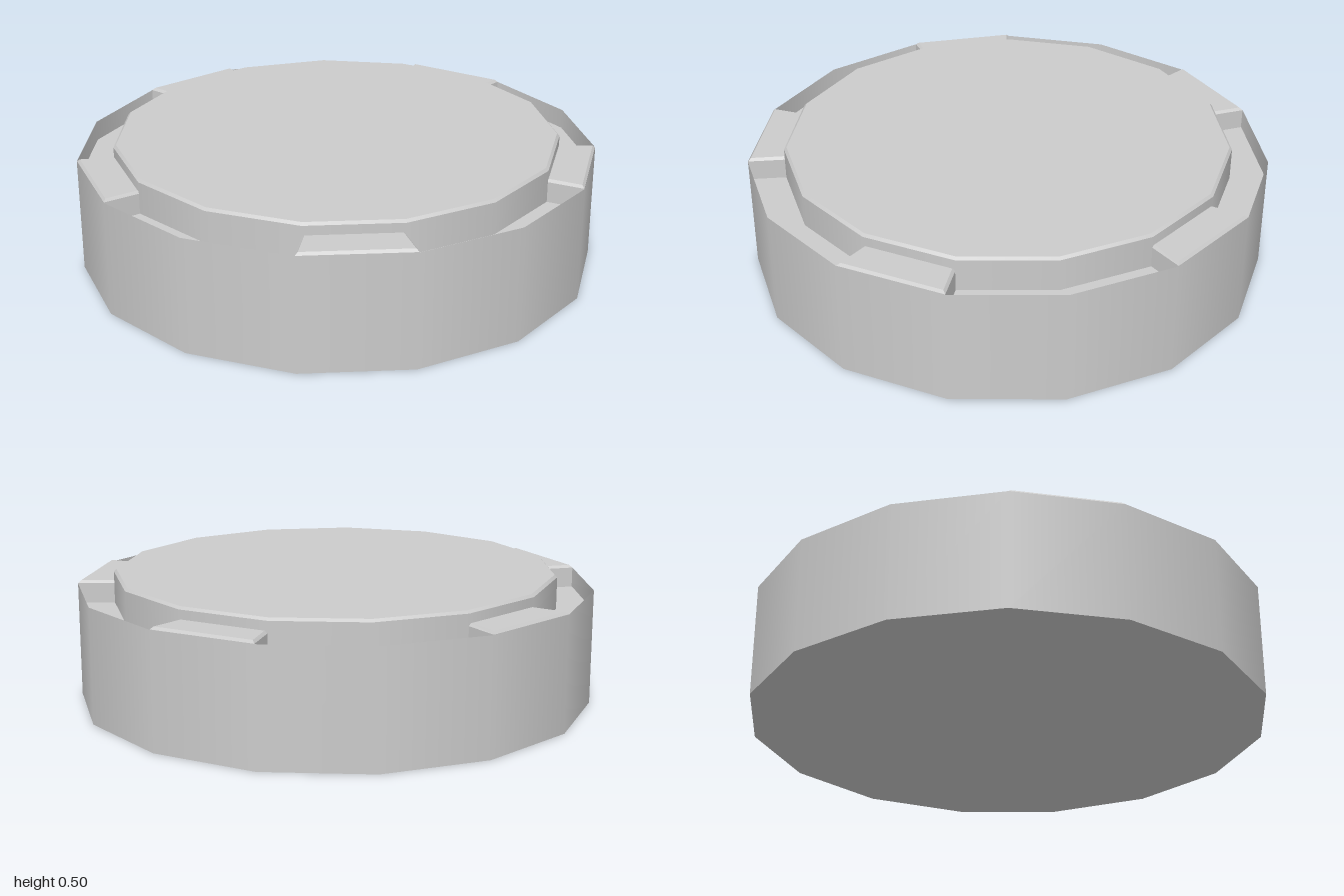
import * as THREE from 'three';

const SIDES = 15;
const STEP = (Math.PI * 2) / SIDES;
const R = 1.005;        // outer wall radius
const R_DISC = 0.864;   // raised centre radius
const FLOOR = 0.37;     // bottom of the ring groove
const WALL = 0.448;     // top of the outer wall
const TOP = 0.504;

export function createModel() {
  const group = new THREE.Group();
  const mat = new THREE.MeshStandardMaterial({ color: 0xcccccc });
  const thin = new THREE.MeshStandardMaterial({ color: 0xcccccc, side: THREE.DoubleSide });

  const add = (name, geometry, material = mat) => {
    const mesh = new THREE.Mesh(geometry, material);
    mesh.name = name;
    group.add(mesh);
    return mesh;
  };

  // Fifteen-sided band with a corner on +x
  const band = (name, rTop, rBottom, y0, y1, material) => {
    const g = new THREE.CylinderGeometry(rTop, rBottom, y1 - y0, SIDES, 1, true, Math.PI / 2);
    add(name, g, material).position.y = (y0 + y1) / 2;
  };

  // Flat fifteen-sided plate facing up or down
  const plate = (name, radius, y, up) => {
    const mesh = add(name, new THREE.CircleGeometry(radius, SIDES));
    mesh.rotation.x = up ? -Math.PI / 2 : Math.PI / 2;
    mesh.position.y = y;
  };

  // Thin-walled body, base and groove floor
  band('outerWall', R, R, 0, WALL, thin);
  plate('base', R, 0, false);
  plate('grooveFloor', R, FLOOR, true);

  // Raised centre with a small chamfer
  const chamfer = 0.01;
  band('centreSide', R_DISC, R_DISC, FLOOR, TOP - chamfer);
  band('centreChamfer', R_DISC - chamfer, R_DISC, TOP - chamfer, TOP);
  plate('centreTop', R_DISC - chamfer, TOP, true);

  // Five bevelled blocks bridging the groove, one on every third side
  const bevel = 0.01, blockTop = 0.459, blockBottom = 0.35;
  for (let i = 0; i < 5; i++) {
    const a = (1 + 3 * i) * STEP, b = a + STEP;
    const at = (r, t) => new THREE.Vector2(r * Math.cos(t), r * Math.sin(t));
    const shape = new THREE.Shape([
      at(R_DISC - 0.008, a), at(R - 0.001, a), at(R - 0.001, b), at(R_DISC - 0.008, b),
    ]);
    const g = new THREE.ExtrudeGeometry(shape, {
      depth: blockTop - blockBottom - 2 * bevel,
      bevelThickness: bevel, bevelSize: bevel, bevelOffset: -bevel, bevelSegments: 1,
    });
    g.rotateX(-Math.PI / 2);
    g.translate(0, blockBottom + bevel, 0);
    add('rimBlock' + (i + 1), g);
  }

  // Centre the odd-sided outline on x
  for (const part of group.children) part.position.x = -0.011;
  return group;
}
